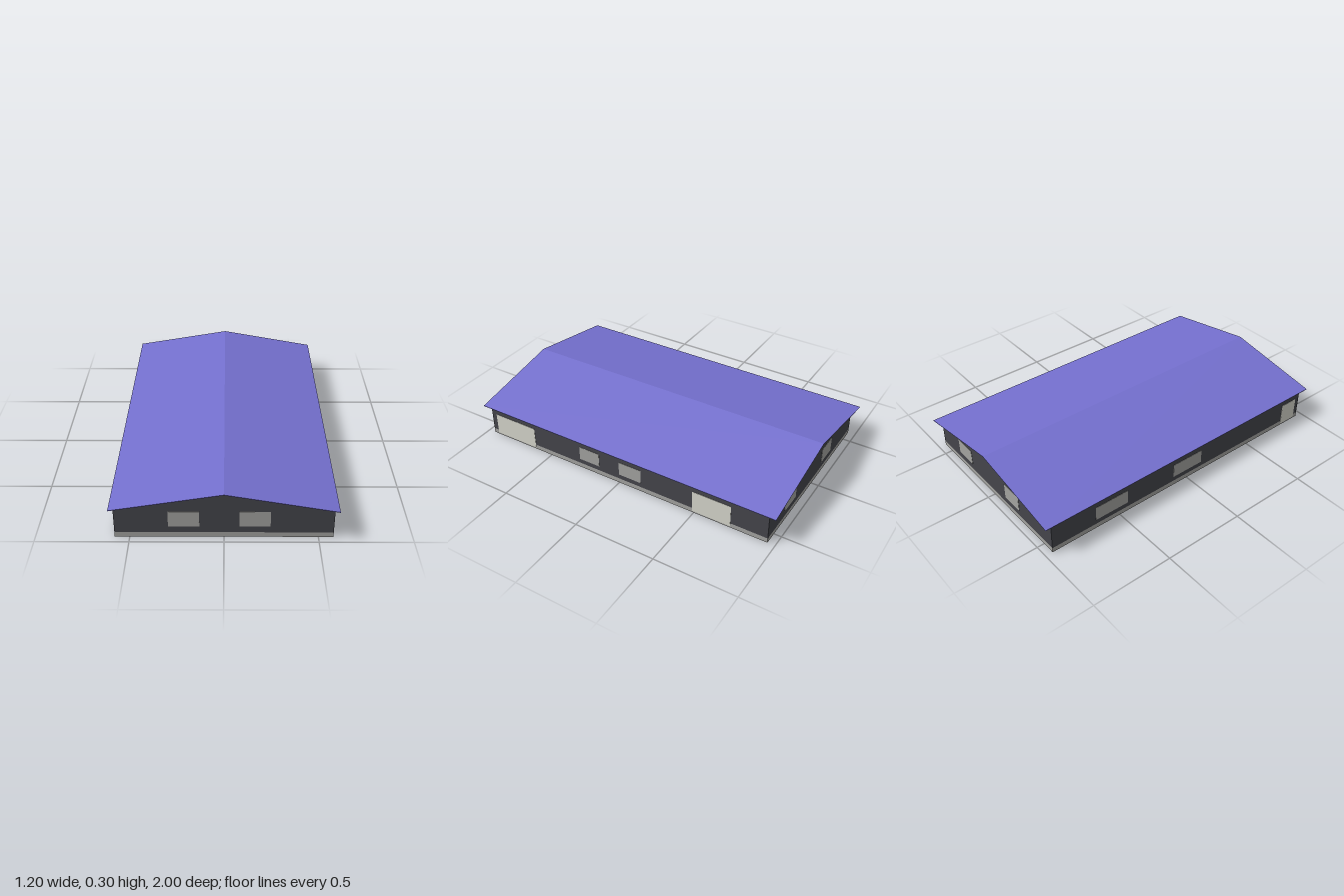
import * as THREE from 'three';

const mat = (name, color, extra = {}) => {
  const m = new THREE.MeshStandardMaterial({ color, ...extra });
  m.name = name;
  return m;
};

export function createModel() {
  const roofMat = mat('roofViolet', 0x7570d0, { side: THREE.DoubleSide });
  const wallMat = mat('wallCharcoal', 0x45464c);
  const greyMat = mat('paneGrey', 0xa5a5a2);
  const doorMat = mat('doorOffWhite', 0xd8d8ce);

  const model = new THREE.Group();
  model.name = 'hall';
  const X = 0.58, Z = 0.955, T = 0.006, PANE = 0.009;

  const add = (name, geometry, material) => {
    const mesh = new THREE.Mesh(geometry, material);
    mesh.name = name;
    model.add(mesh);
  };

  // Upright slab: axis 'x' faces sideways and runs along z, 'z' faces front and runs along x
  const slab = (name, material, axis, at, a, b, y0, y1, thick = T) => {
    const len = Math.abs(b - a), mid = (a + b) / 2;
    const g = axis === 'x'
      ? new THREE.BoxGeometry(thick, y1 - y0, len).translate(at, (y0 + y1) / 2, mid)
      : new THREE.BoxGeometry(len, y1 - y0, thick).translate(mid, (y0 + y1) / 2, at);
    add(name, g, material);
  };

  // Plinth, long walls and gables
  const gable = new THREE.Shape([
    [-X, 0.03], [X, 0.03], [X, 0.195], [0, 0.3], [-X, 0.198],
  ].map(([x, y]) => new THREE.Vector2(x, y)));
  for (const s of [-1, 1]) {
    const x = s * (X - T / 2), z = s * (Z - T / 2);
    slab('sidePlinth', greyMat, 'x', x, -Z, Z, 0, 0.03);
    slab('endPlinth', greyMat, 'z', z, -X + T, X - T, 0, 0.03);
    slab('sideWall', wallMat, 'x', x, -Z + T, Z - T, 0.03, 0.194);
    const g = new THREE.ExtrudeGeometry(gable, { depth: T, bevelEnabled: false });
    add('gableWall', g.translate(0, 0, z - T / 2), wallMat);
  }

  // Thin pitched roof
  const roof = new THREE.Shape([
    [-0.6, 0.2], [0, 0.301], [0.6, 0.193], [0.6, 0.196], [0, 0.304], [-0.6, 0.203],
  ].map(([x, y]) => new THREE.Vector2(x, y)));
  add('roof', new THREE.ExtrudeGeometry(roof, { depth: 2, bevelEnabled: false }).translate(0, 0, -1), roofMat);

  // Outer windows: axis, wall side, start, end
  for (const [axis, s, a, b] of [
    ['z', 1, -0.295, -0.13], ['z', 1, 0.08, 0.245],
    ['z', -1, 0.235, 0.38], ['z', -1, -0.265, -0.125],
    ['x', 1, 0.14, 0.28], ['x', 1, -0.15, 0],
    ['x', -1, -0.665, -0.445], ['x', -1, -0.105, 0.11],
  ]) {
    const at = s * ((axis === 'x' ? X : Z) - T / 2);
    const [y0, y1] = axis === 'x' ? [0.06, 0.148] : [0.068, 0.165];
    slab('window', greyMat, axis, at, a, b, y0, y1, PANE);
  }

  // Gates and door
  for (const [s, a, b] of [[1, 0.62, 0.92], [1, -0.73, -0.49], [-1, 0.805, 0.925]]) {
    slab('door', doorMat, 'x', s * (X - T / 2), a, b, 0.01, 0.148, PANE);
  }

  // Inner partitions of the rooms at the back
  for (const [axis, at, a, b] of [
    ['x', 0.28, -0.949, -0.5], ['z', -0.5, -0.02, 0.28],
    ['x', -0.02, -0.949, -0.2], ['z', -0.2, -0.28, -0.02],
    ['x', -0.28, -0.949, -0.2],
    ['z', -0.84, -0.574, -0.38], ['x', -0.38, -0.949, -0.84],
  ]) slab('partition', wallMat, axis, at, a, b, 0.002, 0.16);

  // Panes in the partitions
  for (const [axis, at, a, b] of [
    ['x', 0.28, -0.75, -0.55], ['x', -0.02, -0.68, -0.54],
    ['x', -0.28, -0.55, -0.42], ['z', -0.2, -0.23, -0.1],
  ]) slab('innerWindow', greyMat, axis, at, a, b, 0.05, 0.14, PANE);

  return model;
}
